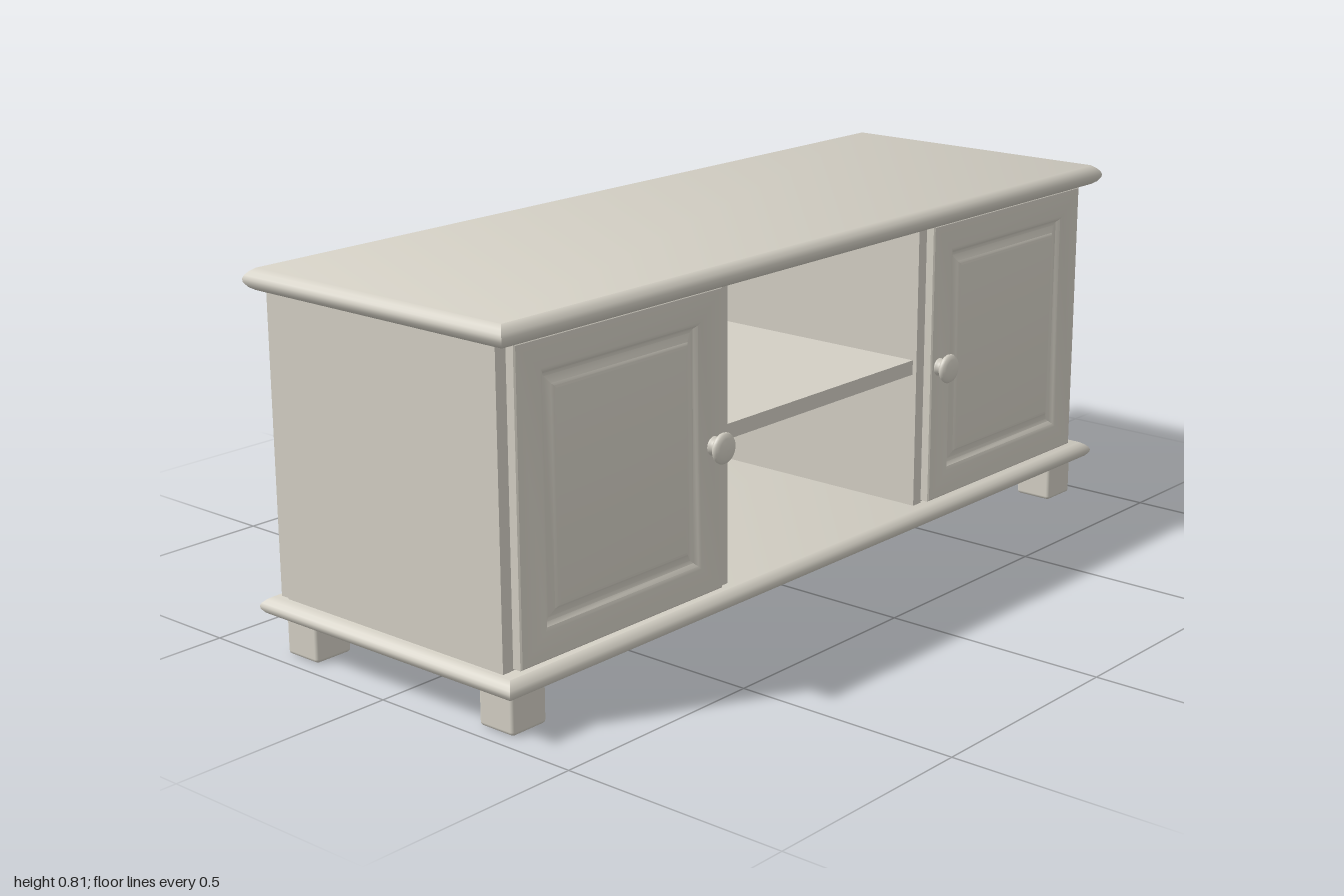
import * as THREE from 'three';
import { toCreasedNormals } from 'three/addons/utils/BufferGeometryUtils.js';
import { RoundedBoxGeometry } from 'three/addons/geometries/RoundedBoxGeometry.js';

// Solid made of stacked rectangles [halfWidth, halfHeight, z], capped at both ends
function rectLoft(rings) {
  const pos = [], idx = [];
  for (const [w, h, z] of rings) pos.push(-w, -h, z, w, -h, z, w, h, z, -w, h, z);
  for (let r = 0; r < rings.length - 1; r++) {
    for (let i = 0; i < 4; i++) {
      const a = r * 4 + i, b = r * 4 + (i + 1) % 4;
      idx.push(a, b, b + 4, a, b + 4, a + 4);
    }
  }
  const t = (rings.length - 1) * 4;
  idx.push(0, 2, 1, 0, 3, 2, t, t + 1, t + 2, t, t + 2, t + 3);
  const g = new THREE.BufferGeometry();
  g.setAttribute('position', new THREE.Float32BufferAttribute(pos, 3));
  g.setIndex(idx);
  return toCreasedNormals(g, 0.65);
}

export function createModel() {
  const root = new THREE.Group();
  root.name = 'mediaCabinet';
  const paint = new THREE.MeshStandardMaterial({ color: 0xd3cfc4 });
  paint.name = 'cream paint';

  const add = (name, geometry, x = 0, y = 0, z = 0) => {
    const m = new THREE.Mesh(geometry, paint);
    m.name = name;
    m.position.set(x, y, z);
    root.add(m);
    return m;
  };
  // Box given by its minimum and maximum on each axis
  const box = (name, x0, x1, y0, y1, z0, z1) =>
    add(name, new THREE.BoxGeometry(x1 - x0, y1 - y0, z1 - z0),
      (x0 + x1) / 2, (y0 + y1) / 2, (z0 + z1) / 2);

  // Moulded top and base boards, with a rounded nose all round
  const slab = (name, y, h) => {
    const profile = [[0.018, 0], [0.008, 0.14], [0.001, 0.36], [0, 0.52],
      [0.003, 0.68], [0.01, 0.85], [0.02, 1]];
    const g = rectLoft(profile.map(([inset, t]) => [1 - inset, 0.358 - inset, t * h]));
    g.rotateX(-Math.PI / 2);
    add(name, g, 0, y, -0.005);
  };
  slab('topBoard', 0.765, 0.045);
  slab('baseBoard', 0.085, 0.04);

  // Open middle bay
  box('middleShelf', -0.326, 0.326, 0.43, 0.463, -0.316, 0.3);

  // Door: stepped frame, sunken groove and raised field
  const doorGeometry = rectLoft([
    [0.292, 0.317, 0], [0.292, 0.317, 0.019], [0.289, 0.314, 0.022],
    [0.226, 0.258, 0.022], [0.219, 0.251, 0.019], [0.212, 0.244, 0.011],
    [0.205, 0.237, 0.009], [0.192, 0.222, 0.015], [0.187, 0.217, 0.019],
    [0.182, 0.212, 0.02],
  ]);

  // Turned knob
  const knobGeometry = new THREE.LatheGeometry([
    [0.02, 0], [0.019, 0.004], [0.015, 0.011], [0.017, 0.015], [0.027, 0.018],
    [0.032, 0.023], [0.033, 0.027], [0.03, 0.032], [0.022, 0.036], [0.011, 0.0385], [0, 0.039],
  ].map(([r, y]) => new THREE.Vector2(r, y)), 32);
  knobGeometry.rotateX(Math.PI / 2);

  const footGeometry = new RoundedBoxGeometry(0.092, 0.09, 0.091, 2, 0.008);

  for (const [side, s] of [['left', 1], ['right', -1]]) {
    const mirrored = (name, a, b, ...rest) =>
      box(side + name, Math.min(a * s, b * s), Math.max(a * s, b * s), ...rest);

    // Carcase sides and partitions
    mirrored('SidePanel', 0.948, 0.97, 0.12, 0.77, -0.308, 0.305);
    mirrored('Partition', 0.325, 0.353, 0.12, 0.77, -0.316, 0.31);
    mirrored('DoorBacking', 0.353, 0.948, 0.12, 0.77, 0.29, 0.304);
    mirrored('BackPanel', 0.358, 0.966, 0.12, 0.77, -0.333, -0.312);

    add(side + 'Door', doorGeometry, s * 0.651, 0.446, 0.305);
    add(side + 'Knob', knobGeometry, s * 0.388, 0.44, 0.327);
    for (const [end, z] of [['Front', 0.275], ['Back', -0.281]])
      add(side + end + 'Foot', footGeometry, s * 0.917, 0.045, z);
  }

  // Back board of the middle bay, with narrow seams beside it
  box('middleBackPanel', -0.354, 0.354, 0.12, 0.77, -0.333, -0.312);

  return root;
}
